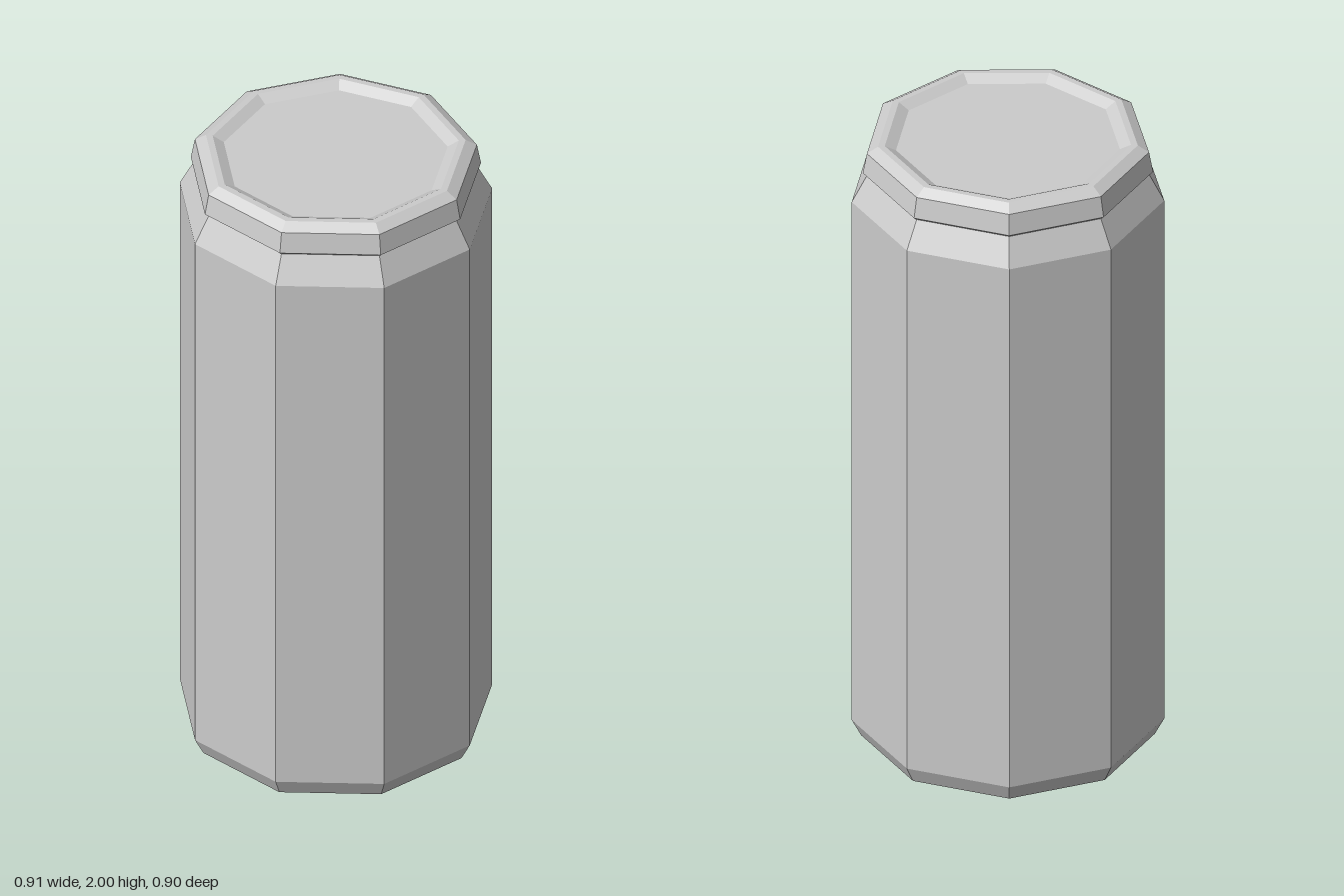
import * as THREE from 'three';

const SIDES = 9;

export function createModel() {
  const can = new THREE.Group();
  can.name = 'can';
  const material = new THREE.MeshStandardMaterial({ color: 0xcccccc, flatShading: true });

  // Revolve a [radius, height] profile into a nine-sided ring with a corner at the back
  const addRing = (name, profile) => {
    const points = profile.map(([r, y]) => new THREE.Vector2(r, y));
    const mesh = new THREE.Mesh(new THREE.LatheGeometry(points, SIDES, Math.PI), material);
    mesh.name = name;
    mesh.position.z = 0.014; // centres the odd-sided outline in depth
    can.add(mesh);
  };

  // Recessed underside and the ring it stands on
  addRing('base', [[0, 0.034], [0.325, 0.034], [0.377, 0], [0.434, 0]]);
  // Chamfered foot, straight wall and tapered neck
  addRing('body', [[0.434, 0], [0.462, 0.055], [0.462, 1.82], [0.417, 1.905]]);
  // Overhanging seam around the top
  addRing('rim', [[0.417, 1.905], [0.429, 1.915], [0.417, 1.98], [0.384, 2], [0.364, 2]]);
  // Shallow sunken lid
  addRing('lid', [[0.364, 2], [0.331, 1.982], [0, 1.982]]);

  return can;
}
